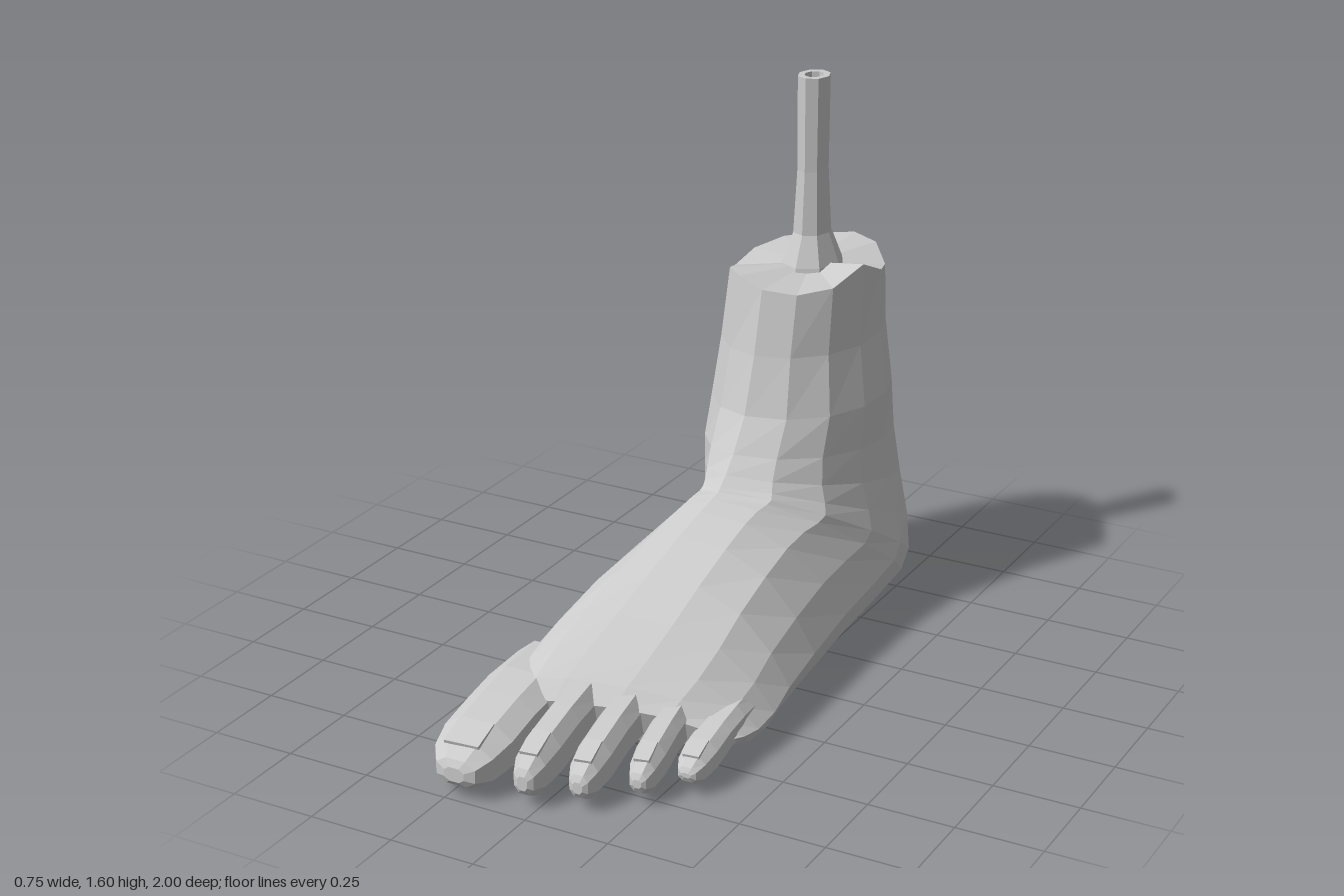
import * as THREE from 'three';

const { lerp, clamp } = THREE.MathUtils;
const material = new THREE.MeshStandardMaterial({ color: 0xcccccc, flatShading: true, roughness: 0.9 });

// Skin a list of closed rings; both ends are closed by a fan to a centre point.
function loft(rings, startCentre) {
  const n = rings[0].length;
  const centre = (r) => r.reduce((s, p) => s.add(p), new THREE.Vector3()).divideScalar(n);
  const points = [...rings.flat(), startCentre ?? centre(rings[0]), centre(rings.at(-1))];
  const index = [];
  const first = rings.length * n, base = (rings.length - 1) * n;
  for (let k = 0; k < n; k++) {
    const j = (k + 1) % n;
    for (let i = 0; i < rings.length - 1; i++) {
      const a = i * n + k, b = i * n + j;
      index.push(a, a + n, b, b, a + n, b + n);
    }
    index.push(first, k, j, first + 1, base + j, base + k);
  }
  const g = new THREE.BufferGeometry().setFromPoints(points);
  g.setIndex(index);
  g.computeVertexNormals();
  return g;
}

function addMesh(parent, name, geometry) {
  const mesh = new THREE.Mesh(geometry, material);
  mesh.name = name;
  parent.add(mesh);
  return mesh;
}

// Half outline of a foot section, top to sole: [depth 0..1, width 0..1]
const FOOT = [[0, 0], [0.03, 0.35], [0.18, 0.64], [0.46, 0.86], [0.72, 1], [0.9, 0.93], [0.98, 0.62], [1, 0]];

// Sections swing from level at the shin to upright at the toes:
// front z, y, back z, y, xMin, xMax, back centre x, foot blend
const SECTIONS = [
  [-0.38, 1.03, -0.93, 1.04, -0.235, 0.195, 0.0, 0],
  [-0.34, 0.84, -0.945, 0.83, -0.25, 0.2, 0.0, 0],
  [-0.29, 0.67, -0.935, 0.65, -0.262, 0.235, 0.03, 0],
  [-0.23, 0.57, -0.965, 0.48, -0.262, 0.235, 0.06, 0],
  [-0.19, 0.52, -1.0, 0.3, -0.245, 0.25, 0.08, 0],
  [-0.17, 0.5, -0.995, 0.14, -0.235, 0.28, 0.09, 0.1],
  [-0.16, 0.49, -0.92, 0.04, -0.235, 0.31, 0.09, 0.3],
  [-0.15, 0.48, -0.8, 0.015, -0.245, 0.32, 0.07, 0.55],
  [-0.12, 0.472, -0.55, 0.02, -0.26, 0.325, 0.04, 0.8],
  [-0.06, 0.455, -0.28, 0.03, -0.28, 0.335, 0.03, 0.95],
  [0.05, 0.42, 0.0, 0.02, -0.31, 0.35, 0.02, 1],
  [0.2, 0.365, 0.19, 0.01, -0.355, 0.362, 0, 1],
  [0.35, 0.305, 0.34, 0.0, -0.375, 0.372, 0, 1],
  [0.49, 0.25, 0.47, 0.01, -0.365, 0.372, 0, 1],
  [0.58, 0.21, 0.55, 0.03, -0.35, 0.36, 0, 1],
  [0.63, 0.165, 0.6, 0.055, -0.32, 0.335, 0, 1],
];

// Uneven height of the cut rim, once round from the front
const RIM = [0, -0.01, 0, 0.045, -0.01, -0.035, 0, 0.01, 0, 0, -0.01, -0.025, 0.01, 0.02];

function section([fz, fy, bz, by, xMin, xMax, backX, blend]) {
  const frontX = -0.06 - 0.08 * fz; // the ridge drifts toward the big toe
  const skew = clamp((fz - 0.2) * 0.75, 0, 0.3); // the toe line runs back on the outer side
  return RIM.map((_, k) => {
    const h = k <= 7 ? k : 14 - k, a = (h * Math.PI) / 7;
    const u = lerp((1 - Math.cos(a)) / 2, FOOT[h][0], blend);
    const v = lerp(Math.sin(a), FOOT[h][1], blend);
    const c = lerp(frontX, backX, u);
    const x = c + v * ((k <= 7 ? xMax : xMin) - c);
    return new THREE.Vector3(x, lerp(fy, by, u), lerp(fz, bz, u) - x * skew);
  });
}

// Toe profile from root to tip: [along, width, top, underside]
const TOE = [[0, 1, 1.04, 0.03], [0.3, 1, 1.03, 0.045], [0.52, 0.97, 0.96, 0.045], [0.75, 0.97, 0.86, 0.025],
  [0.9, 0.82, 0.74, 0.022], [0.98, 0.55, 0.58, 0.04], [1, 0.28, 0.48, 0.055]];

function toeGeometry([x0, z0, x1, z1, halfWidth, top]) {
  const square = (q) => 1.06 * Math.sign(q) * Math.abs(q) ** 0.8;
  return loft(TOE.map(([t, w, h, low]) => {
    const mid = (top * h + low) / 2, half = (top * h - low) / 2;
    return Array.from({ length: 8 }, (_, k) => {
      const a = ((k + 0.5) / 8) * Math.PI * 2;
      return new THREE.Vector3(
        lerp(x0, x1, t) + square(Math.sin(a)) * halfWidth * w, mid + square(Math.cos(a)) * half, lerp(z0, z1, t));
    });
  }));
}

// Root x, root z, tip x, tip z, half width, top height
const TOES = {
  bigToe: [-0.25, 0.45, -0.218, 1.0, 0.11, 0.2],
  secondToe: [-0.075, 0.45, -0.035, 0.955, 0.056, 0.2],
  middleToe: [0.045, 0.43, 0.1, 0.9, 0.052, 0.183],
  fourthToe: [0.16, 0.38, 0.222, 0.8, 0.046, 0.165],
  littleToe: [0.285, 0.3, 0.308, 0.69, 0.05, 0.143],
};

export function createModel() {
  const model = new THREE.Group();
  model.name = 'foot';

  // Ankle, heel and instep in one skin with a ragged cut top
  const rings = SECTIONS.map(section);
  rings[0].forEach((p, k) => { p.y += RIM[k]; });
  addMesh(model, 'ankleAndFoot', loft(rings, new THREE.Vector3(-0.015, 1.03, -0.67)));

  // Toes with flat nails almost flush with the skin
  for (const [name, toe] of Object.entries(TOES)) {
    const [x0, z0, x1, z1, halfWidth, top] = toe;
    const group = new THREE.Group();
    group.name = name;
    addMesh(group, 'toe', toeGeometry(toe));
    const length = z1 - z0;
    const nail = addMesh(group, 'nail', new THREE.BoxGeometry(halfWidth * 0.95, 0.01, length * 0.17));
    nail.position.set(lerp(x0, x1, 0.84), top * 0.785, lerp(z0, z1, 0.84));
    nail.rotation.set(Math.atan2(top * 0.12, length * 0.15), Math.atan2(x1 - x0, length), 0);
    model.add(group);
  }

  // Bone shaft, flared at the base and hollow at the top
  const profile = [[0.095, 1.0], [0.088, 1.04], [0.055, 1.13], [0.045, 1.32], [0.047, 1.6], [0.028, 1.6], [0.024, 1.5], [0, 1.5]];
  const bone = addMesh(model, 'bone', new THREE.LatheGeometry(profile.map(([r, y]) => new THREE.Vector2(r, y)), 8));
  bone.position.set(-0.015, 0, -0.67);
  bone.scale.z = 1.2;
  return model;
}
